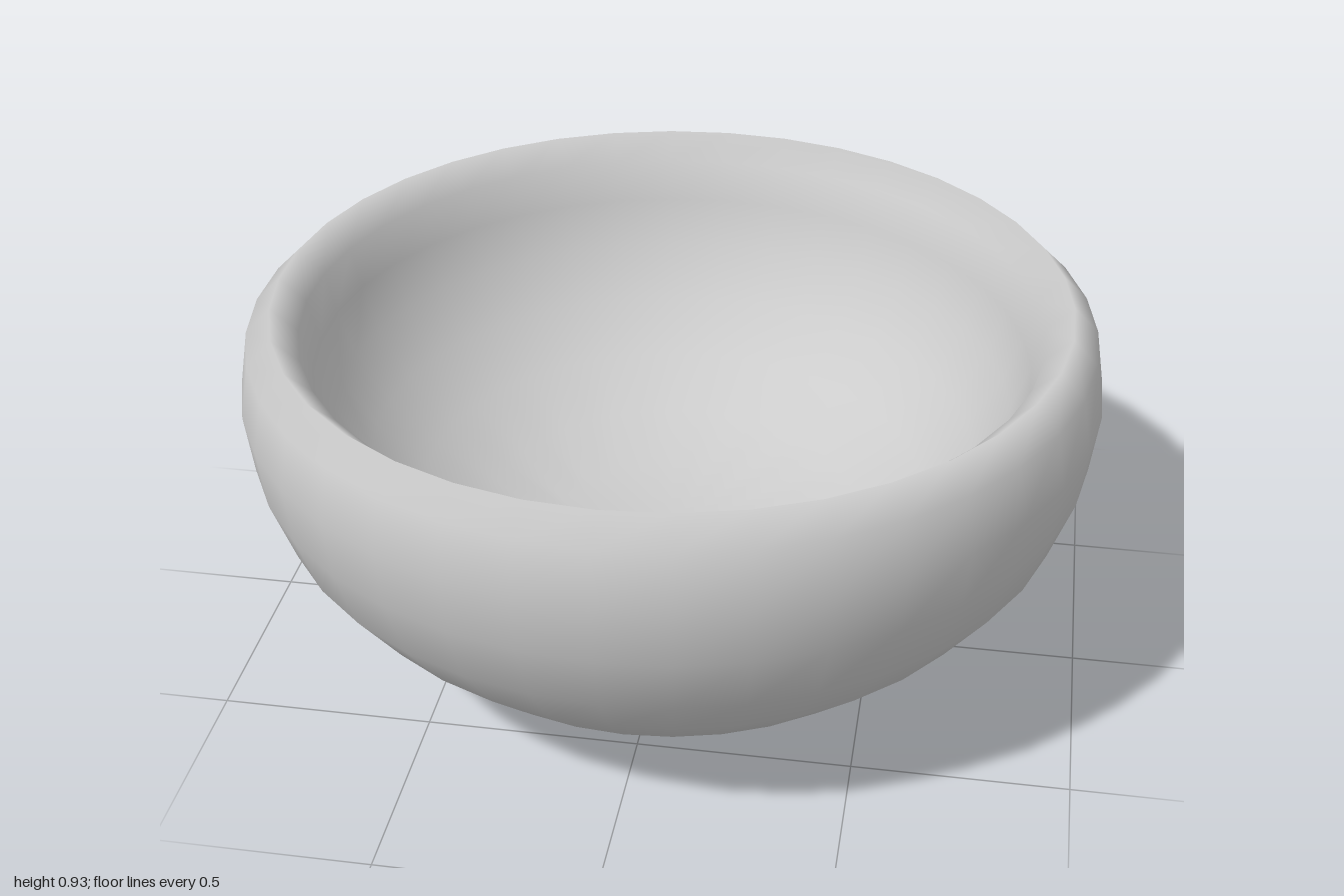
import * as THREE from 'three';

const SIDES = 38;

// Rings are [radius, height], or [radius, height, radius, height] when
// every second corner of the ring differs.
function bowlGeometry(rings, tipY, floorY) {
  const pos = [], index = [];
  for (const [r0, y0, r1 = r0, y1 = y0] of rings) {
    for (let j = 0; j < SIDES; j++) {
      const a = (j / SIDES) * Math.PI * 2;
      const r = j % 2 ? r1 : r0;
      pos.push(r * Math.sin(a), j % 2 ? y1 : y0, -r * Math.cos(a));
    }
  }
  const id = (i, j) => i * SIDES + (j % SIDES);
  for (let i = 0; i < rings.length - 1; i++) {
    for (let j = 0; j < SIDES; j++) {
      const a = id(i, j), b = id(i, j + 1), c = id(i + 1, j), d = id(i + 1, j + 1);
      index.push(a, c, b, b, c, d);
    }
  }
  // Closing fans: underside tip and inner floor centre
  const tip = pos.length / 3, floor = tip + 1, last = rings.length - 1;
  pos.push(0, tipY, 0, 0, floorY, 0);
  for (let j = 0; j < SIDES; j++) {
    index.push(tip, id(0, j), id(0, j + 1));
    index.push(id(last, j), floor, id(last, j + 1));
  }
  const geo = new THREE.BufferGeometry();
  geo.setAttribute('position', new THREE.Float32BufferAttribute(pos, 3));
  geo.setIndex(index);
  geo.computeVertexNormals();
  return geo;
}

export function createModel() {
  const group = new THREE.Group();
  group.name = 'roundBowl';

  // From the fluted underside, over the rim, to the fluted inner floor
  const profile = [
    [0.5, 0.072, 0.42, 0.06], [0.67, 0.165], [0.825, 0.31], [0.93, 0.45],
    [0.983, 0.6], [1.0, 0.74], [0.978, 0.87], [0.92, 0.928],
    [0.86, 0.87], [0.835, 0.77], [0.795, 0.66], [0.715, 0.54],
    [0.6, 0.43], [0.45, 0.345], [0.31, 0.295, 0.26, 0.283],
  ];
  const bowl = new THREE.Mesh(
    bowlGeometry(profile, 0, 0.26),
    new THREE.MeshStandardMaterial({ color: 0xcccccc })
  );
  bowl.name = 'bowl';
  group.add(bowl);
  return group;
}
